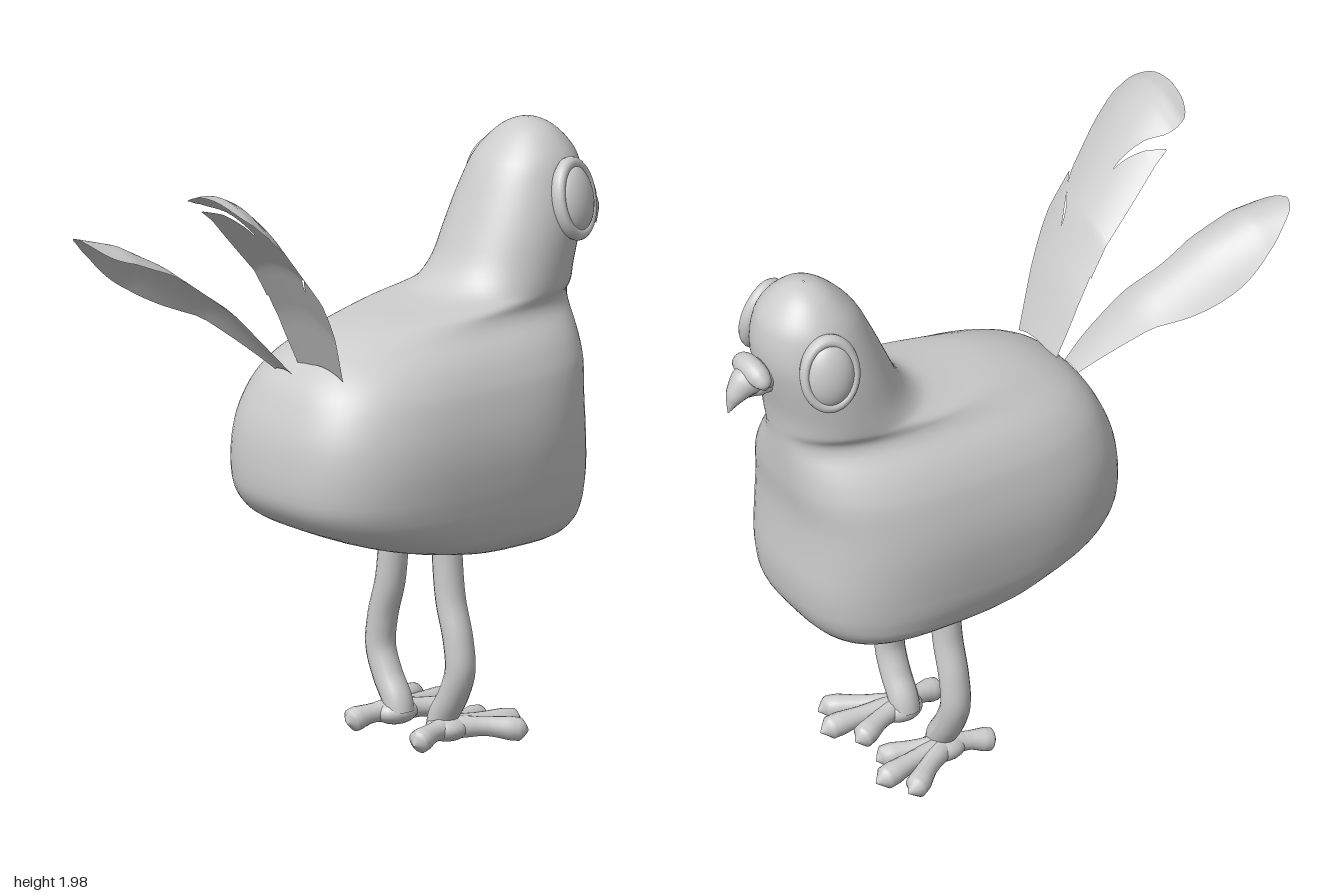
import * as THREE from 'three';

const grey = new THREE.MeshStandardMaterial({ color: 0xcccccc });
const greySheet = new THREE.MeshStandardMaterial({ color: 0xcccccc, side: THREE.DoubleSide });
const V = (x, y, z) => new THREE.Vector3(x, y, z);
const spline = (pts) => new THREE.CatmullRomCurve3(pts.map((p) => V(...p)));

function mesh(name, geometry, material = grey) {
  const m = new THREE.Mesh(geometry, material);
  m.name = name;
  return m;
}

// Grid of points (rows x cols); wrap joins the last column to the first
function gridGeometry(rows, wrap) {
  const n = rows[0].length, index = [];
  for (let i = 0; i < rows.length - 1; i++) {
    for (let j = 0; j < (wrap ? n : n - 1); j++) {
      const a = i * n + j, b = i * n + (j + 1) % n;
      index.push(a, a + n, b, b, a + n, b + n);
    }
  }
  const g = new THREE.BufferGeometry().setFromPoints(rows.flat());
  g.setIndex(index);
  g.computeVertexNormals();
  return g;
}

// Tube along a spline whose radius follows a list of values, rounded by linear steps
function taperedTube(points, radii, segments = 24) {
  const curve = spline(points), sides = 16;
  const g = new THREE.TubeGeometry(curve, segments, 1, sides);
  const pos = g.attributes.position, v = V(0, 0, 0);
  for (let i = 0; i <= segments; i++) {
    const c = curve.getPointAt(i / segments);
    const s = (i / segments) * (radii.length - 1), k = Math.min(Math.floor(s), radii.length - 2);
    const r = THREE.MathUtils.lerp(radii[k], radii[k + 1], s - k);
    for (let j = 0; j <= sides; j++) {
      const q = i * (sides + 1) + j;
      v.fromBufferAttribute(pos, q).sub(c).multiplyScalar(r).add(c);
      pos.setXYZ(q, v.x, v.y, v.z);
    }
  }
  g.computeVertexNormals();
  return g;
}

// Body, neck and head: rings [y, back x, front x, half width], rounded-square to oval
function bodyGeometry() {
  const rings = [
    [0.618, 0.40, 0.44, 0.01], [0.622, 0.27, 0.57, 0.15], [0.65, 0.13, 0.66, 0.27],
    [0.7, -0.08, 0.71, 0.345], [0.75, -0.22, 0.735, 0.37], [0.8, -0.32, 0.745, 0.385],
    [0.85, -0.365, 0.75, 0.392], [0.9, -0.383, 0.75, 0.397], [1, -0.385, 0.745, 0.4],
    [1.1, -0.37, 0.745, 0.388], [1.2, -0.33, 0.758, 0.36], [1.25, -0.3, 0.762, 0.335],
    [1.3, -0.25, 0.765, 0.3], [1.35, -0.16, 0.768, 0.25], [1.38, -0.07, 0.77, 0.23],
    [1.4, 0.03, 0.772, 0.225], [1.42, 0.2, 0.774, 0.223], [1.44, 0.285, 0.776, 0.222],
    [1.5, 0.35, 0.785, 0.22], [1.6, 0.4, 0.81, 0.215], [1.7, 0.445, 0.83, 0.2],
    [1.8, 0.495, 0.82, 0.17], [1.85, 0.535, 0.795, 0.14], [1.9, 0.59, 0.748, 0.09],
    [1.922, 0.63, 0.71, 0.045], [1.93, 0.668, 0.672, 0.003],
  ];
  const ends = spline(rings.map(([y, a, b]) => [a, y, b]));
  const widths = new THREE.SplineCurve(rings.map((r) => new THREE.Vector2(r[3], 0)));
  const steps = (rings.length - 1) * 3, rows = [];
  for (let i = 0; i <= steps; i++) {
    const e = ends.getPoint(i / steps), w = Math.max(0.002, widths.getPoint(i / steps).x);
    const power = 2 / THREE.MathUtils.lerp(2.9, 2.1, THREE.MathUtils.smoothstep(e.y, 1.15, 1.5));
    const row = [];
    for (let j = 0; j < 64; j++) {
      const a = (j / 64) * Math.PI * 2, c = Math.cos(a), s = Math.sin(a);
      row.push(V((e.x + e.z) / 2 + (e.z - e.x) / 2 * Math.sign(c) * Math.abs(c) ** power,
        e.y, w * Math.sign(s) * Math.abs(s) ** power));
    }
    rows.push(row);
  }
  return gridGeometry(rows, true);
}

// Thin feather: edge rows [x, z1, z2], height from a profile, arched about its centre line
function featherGeometry(edges, profile, centre, arch) {
  const curve = spline(edges), rows = [];
  for (let i = 0; i <= 40; i++) {
    const p = curve.getPoint(i / 40);
    let k = 0;
    while (k < profile.length - 2 && p.x < profile[k + 1][0]) k++;
    const [x0, y0] = profile[k], [x1, y1] = profile[k + 1];
    const y = y0 + (y1 - y0) * (p.x - x0) / (x1 - x0);
    const row = [];
    for (let j = 0; j <= 12; j++) {
      const z = THREE.MathUtils.lerp(p.y, p.z, j / 12);
      row.push(V(p.x, y - arch * (z - centre(p.x)) ** 2, z));
    }
    rows.push(row);
  }
  return gridGeometry(rows, false);
}

function createEye(side) {
  const eye = new THREE.Group();
  eye.name = side > 0 ? 'leftEye' : 'rightEye';
  const ball = mesh('eyeball', new THREE.SphereGeometry(1, 32, 20));
  ball.scale.set(0.08, 0.11, 0.05);
  const rim = mesh('eyeRim', new THREE.TorusGeometry(0.082, 0.016, 12, 40));
  rim.scale.set(1, 1.36, 1.5);
  eye.add(ball, rim);
  eye.position.set(0.695, 1.703, side * 0.192);
  eye.lookAt(0.695 + 0.28, 1.703 + 0.2, side * 1.192);
  return eye;
}

function createLeg(side) {
  const leg = new THREE.Group();
  leg.name = side > 0 ? 'leftLeg' : 'rightLeg';
  const at = (pts) => pts.map(([x, y, z]) => [x, y, z * side]);
  leg.add(mesh('shank', taperedTube(at([[0.23, 0.72, 0.125], [0.23, 0.6, 0.13], [0.23, 0.48, 0.145],
    [0.23, 0.36, 0.18], [0.23, 0.26, 0.19], [0.23, 0.17, 0.155], [0.23, 0.1, 0.11], [0.23, 0.06, 0.1]]),
    [0.048, 0.048], 40)));
  // Three front toes and one back toe
  const toes = [[0.45, 0.26], [0.505, 0.16], [0.44, 0.06], [0.065, 0.16]];
  for (const [x, z] of toes) {
    leg.add(mesh('toe', taperedTube(at([[0.23, 0.065, 0.13],
      [0.23 + (x - 0.23) * 0.5, 0.062, 0.13 + (z - 0.13) * 0.55],
      [0.23 + (x - 0.23) * 0.85, 0.05, 0.13 + (z - 0.13) * 0.95], [x, 0.042, z]]),
      [0.03, 0.036, 0.034, 0.031, 0.031, 0.034, 0.038, 0.037, 0.001])));
  }
  const pad = mesh('footPad', new THREE.SphereGeometry(1, 24, 16));
  pad.scale.set(0.075, 0.042, 0.065);
  pad.position.set(0.235, 0.062, side * 0.125);
  leg.add(pad);
  return leg;
}

function createTail() {
  const tail = new THREE.Group();
  tail.name = 'tail';
  // Wide split feather: a blade with a barb on either edge
  const wideProfile = [[-0.24, 1.31], [-0.33, 1.5], [-0.44, 1.68], [-0.54, 1.79], [-0.64, 1.9],
    [-0.72, 1.965], [-0.77, 1.99], [-0.83, 1.995]];
  const wideCentre = (x) => 0.07 + (-0.24 - x) * 0.26;
  const pieces = {
    wideFeather: [[-0.24, -0.03, 0.17], [-0.33, -0.025, 0.18], [-0.42, 0, 0.2], [-0.48, 0.05, 0.275],
      [-0.52, 0.1, 0.315], [-0.56, 0.13, 0.335], [-0.65, 0.1, 0.37], [-0.72, 0.06, 0.385],
      [-0.78, 0.07, 0.36], [-0.81, 0.12, 0.31], [-0.82, 0.2, 0.22]],
    innerBarb: [[-0.38, -0.02, 0.1], [-0.55, 0.005, 0.13], [-0.69, 0.03, 0.035]],
    outerBarb: [[-0.24, 0.12, 0.18], [-0.4, 0.19, 0.3], [-0.46, 0.25, 0.32], [-0.52, 0.325, 0.33]],
  };
  for (const [name, edges] of Object.entries(pieces)) {
    tail.add(mesh(name, featherGeometry(edges, wideProfile, wideCentre, 2.2), greySheet));
  }
  // Narrow plain feather
  tail.add(mesh('narrowFeather', featherGeometry(
    [[-0.28, -0.1, -0.02], [-0.36, -0.155, -0.02], [-0.48, -0.235, -0.06], [-0.585, -0.3, -0.11],
      [-0.69, -0.345, -0.12], [-0.77, -0.357, -0.127], [-0.84, -0.35, -0.14], [-0.9, -0.325, -0.17],
      [-0.935, -0.3, -0.215], [-0.95, -0.265, -0.255]],
    [[-0.28, 1.28], [-0.47, 1.5], [-0.68, 1.665], [-0.82, 1.745], [-0.96, 1.785]],
    (x) => -0.06 + (x + 0.28) * 0.31, 4.5), greySheet));
  return tail;
}

export function createModel() {
  const bird = new THREE.Group();
  bird.name = 'bird';
  bird.add(mesh('body', bodyGeometry()));
  for (const side of [1, -1]) bird.add(createEye(side), createLeg(side));

  // Hooked beak with a lower half and a fleshy arch over its base
  bird.add(mesh('upperBeak', taperedTube([[0.78, 1.63, 0], [0.86, 1.642, 0], [0.915, 1.6, 0], [0.948, 1.535, 0]],
    [0.05, 0.052, 0.05, 0.03, 0.002])));
  bird.add(mesh('lowerBeak', taperedTube([[0.78, 1.6, 0], [0.85, 1.598, 0], [0.91, 1.57, 0]],
    [0.035, 0.035, 0.003])));
  bird.add(mesh('cere', taperedTube([[0.855, 1.625, 0.07], [0.86, 1.655, 0.06], [0.865, 1.675, 0],
    [0.86, 1.655, -0.06], [0.855, 1.625, -0.07]], [0.002, 0.028, 0.036, 0.038, 0.038, 0.038, 0.036, 0.028, 0.002], 32)));

  bird.add(createTail());
  return bird;
}
